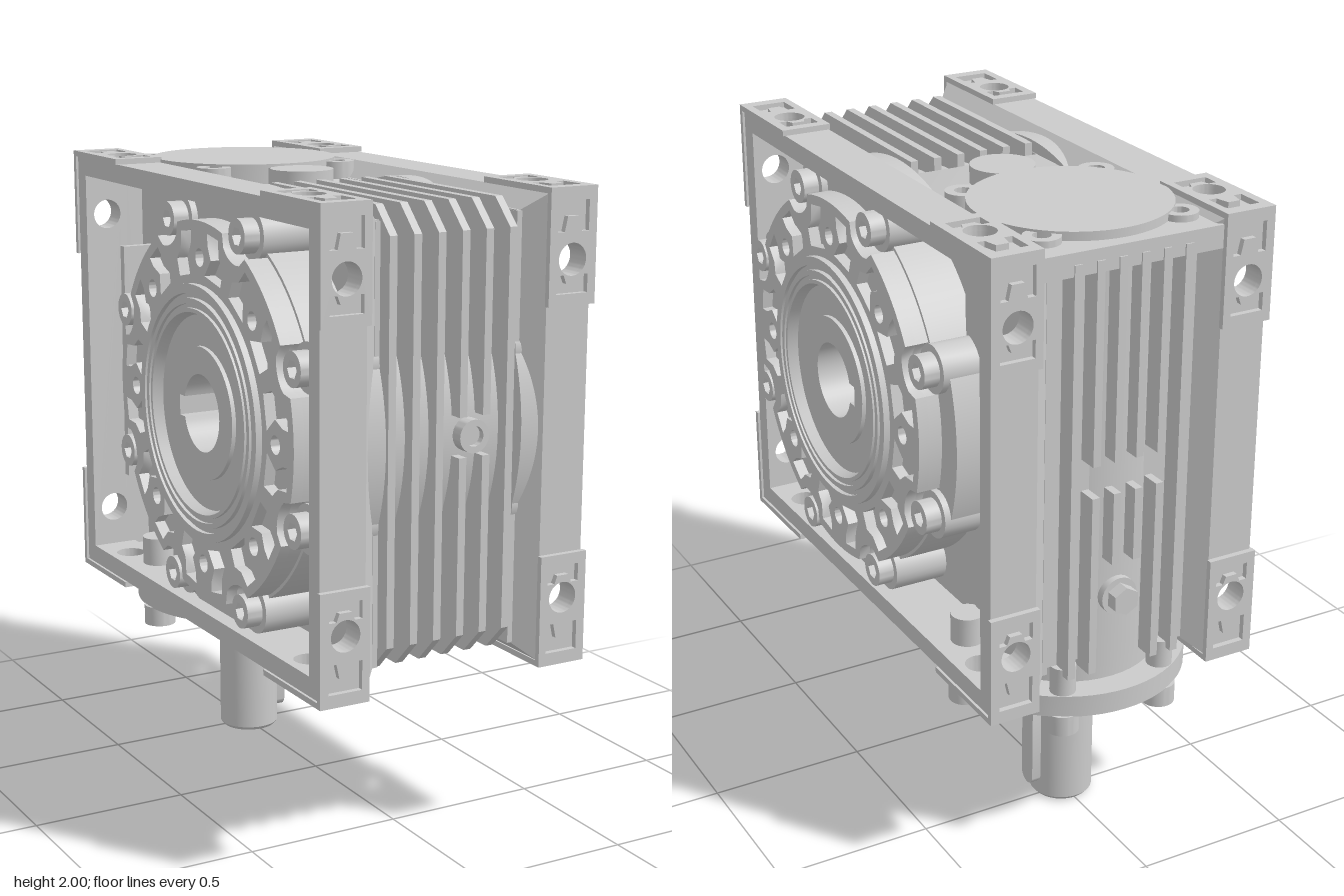
import * as THREE from 'three';
import { toCreasedNormals } from 'three/addons/utils/BufferGeometryUtils.js';

const MAT = new THREE.MeshStandardMaterial({ color: 0xcccccc, side: THREE.DoubleSide });
const BORE = { y: 1.29, z: 0.14 };   // output bore axis (along x)
const WORM_Z = -0.485;               // input shaft axis (along y)
const TAU = Math.PI * 2;

function add(parent, name, geo, x = 0, y = 0, z = 0) {
  const m = new THREE.Mesh(toCreasedNormals(geo, 0.6), MAT);
  m.name = name;
  m.position.set(x, y, z);
  parent.add(m);
  return m;
}
const poly = (pts) => new THREE.Shape(pts.map(([x, y]) => new THREE.Vector2(x, y)));
const rect = (x0, y0, x1, y1) => poly([[x0, y0], [x1, y0], [x1, y1], [x0, y1]]);
const circle = (r, x = 0, y = 0) => new THREE.Shape().absarc(x, y, r, 0, TAU, false);
function extrude(shape, depth, holes = []) {
  shape.holes.push(...holes);
  return new THREE.ExtrudeGeometry(shape, { depth, bevelEnabled: false, curveSegments: 24 });
}
// Shape drawn in (-z, y), extruded along x from x0 to x1
const extrudeX = (shape, x0, x1, holes) => extrude(shape, x1 - x0, holes).rotateY(Math.PI / 2).translate(x0, 0, 0);
// Shape drawn in (x, -z), extruded upward from y0 to y1
const extrudeY = (shape, y0, y1, holes) => extrude(shape, y1 - y0, holes).rotateX(-Math.PI / 2).translate(0, y0, 0);
const lathe = (pts, seg = 48, start = 0) => new THREE.LatheGeometry(pts.map(([x, y]) => new THREE.Vector2(x, y)), seg, start);
const ngon = (n, r) => poly(Array.from({ length: n }, (_, i) => [r * Math.cos(i * TAU / n), r * Math.sin(i * TAU / n)]));

// Socket head bolt standing on z = 0 and pointing to +z
function bolt(r, h) {
  const g = new THREE.Group();
  g.name = 'bolt';
  add(g, 'boltHead', extrude(circle(r), h, [ngon(6, r * 0.55)]));
  add(g, 'boltSocketFloor', new THREE.CircleGeometry(r * 0.7, 16), 0, 0, h * 0.4);
  return g;
}

// One bar of a side frame, with drilled and pocketed pads at both ends; outward is +z
function frameBar(half) {
  const g = new THREE.Group();
  g.name = 'frameBar';
  const X0 = 0.295, X1 = 0.458, XC = 0.375, c = half - 0.21;
  add(g, 'bar', extrude(rect(0.3, 0.018 - half, 0.45, half - 0.018), 0.06, [circle(0.048, XC, c), circle(0.048, XC, -c)]), 0, 0, -0.06);
  for (const s of [-1, 1]) {
    const pocket = (a, b, e) => poly([[0.32, s * a], [0.43, s * a], [0.43, s * b], [0.405, s * b], [0.395, s * e], [0.355, s * e], [0.345, s * b], [0.32, s * b]]);
    add(g, 'cornerPad', extrude(rect(X0, s * (half - 0.345), X1, s * half), 0.018,
      [circle(0.048, XC, s * c), pocket(half - 0.04, half - 0.13, half - 0.085), pocket(c - 0.1, c - 0.045, c - 0.07)]));
  }
  return g;
}

// Flanged bearing cover with ribs, pockets and bolts, centred on the bore axis
function bearingCover() {
  const g = new THREE.Group();
  g.name = 'bearingCover';
  const N = 192, step = TAU / 8;
  const ring = (f) => poly(Array.from({ length: N }, (_, i) => {
    const a = i * TAU / N, r = f(a);
    return [r * Math.cos(a), r * Math.sin(a)];
  }));
  const lobed = (a) => (Math.cos(4 * a) > 0 ? 0.678 : 0.595);
  const notched = (a) => {
    const d = Math.abs(((a / step) % 1) - 0.5) * step;
    return d < 0.13 ? 0.58 - 0.05 * Math.sqrt(1 - (d / 0.13) ** 2) : 0.585;
  };
  add(g, 'bearingHousing', extrudeX(ring(lobed), 0.23, 0.4, [circle(0.19)]));
  add(g, 'coverPlate', extrudeX(ring(notched), 0.4, 0.44, [circle(0.19)]));
  const holes = [circle(0.38)];
  for (let i = 0; i < 16; i++) {
    const a = (i + 0.5) * TAU / 16, s = i % 2 ? -1 : 1;
    const P = (r, d) => [r * Math.cos(a + s * d), r * Math.sin(a + s * d)];
    holes.push(poly([P(0.425, -0.12), P(0.425, 0.13), P(0.48, 0.13), P(0.505, 0.06), P(0.555, 0.03), P(0.555, -0.1), P(0.52, -0.09), P(0.48, -0.04)]));
    if (i % 2) holes.push(circle(0.028, 0.475 * Math.cos(i * step / 2 - step / 2), 0.475 * Math.sin(i * step / 2 - step / 2)));
  }
  add(g, 'coverRibs', extrudeX(ring(notched), 0.44, 0.475, holes));
  add(g, 'pilotRing', lathe([[0.395, 0.44], [0.395, 0.495], [0.367, 0.495], [0.367, 0.48], [0.352, 0.48], [0.352, 0.495],
    [0.335, 0.495], [0.335, 0.485], [0.322, 0.485], [0.322, 0.495], [0.31, 0.495], [0.3, 0.462], [0.19, 0.462]], 64).rotateZ(-Math.PI / 2));
  for (let i = 0; i < 8; i++) {
    const a = (i + 0.5) * step, y = 0.612 * Math.sin(a), z = 0.612 * Math.cos(a);
    add(g, 'boltLug', new THREE.CylinderGeometry(0.075, 0.075, 0.19, 24).rotateZ(Math.PI / 2), 0.325, y, z);
    const b = bolt(0.052, 0.05);
    b.rotation.y = Math.PI / 2;
    b.position.set(0.42, y, z);
    g.add(b);
  }
  g.position.set(0, BORE.y, BORE.z);
  return g;
}

// Everything on the +x side; the other side is its mirror
function sideAssembly() {
  const g = new THREE.Group();
  g.name = 'sideAssembly';
  const bars = [[0.72, 0, 1.28, 0.828], [0.72, Math.PI, 1.28, -0.828], [0.845, -Math.PI / 2, 1.982, 0], [0.845, Math.PI / 2, 0.578, 0]];
  for (const [half, rx, y, z] of bars) {
    const b = frameBar(half);
    b.rotation.x = rx;
    b.position.set(0, y, z);
    g.add(b);
  }
  const q = Math.SQRT2;
  add(g, 'slopedWeb', lathe([[0.93 * q, 0.3], [0.93 * q, 0.23], [0.916 * q, 0.23], [q, 0.3]], 4, Math.PI / 4)
    .rotateZ(-Math.PI / 2).scale(1, 0.702, 0.828), 0, 1.28, 0);
  add(g, 'recessFloor', extrudeX(rect(-0.775, 0.63, 0.775, 1.93), 0.228, 0.245, [circle(0.19, -BORE.z, BORE.y)]));
  add(g, 'recessRib', new THREE.BoxGeometry(0.12, 0.79, 0.028), 0.3, 1.295, -0.685);
  add(g, 'flangeNut', new THREE.CylinderGeometry(0.052, 0.052, 0.16, 24), 0.34, 0.65, WORM_Z);
  g.add(bearingCover());
  return g;
}

export function createModel() {
  const model = new THREE.Group();
  model.name = 'wormGearbox';

  for (const s of [1, -1]) {
    const side = sideAssembly();
    side.scale.x = s;
    model.add(side);
  }

  // Central body: round in front, square behind
  const body = new THREE.Shape();
  body.moveTo(0.77, 0.65).lineTo(0.77, 1.93).lineTo(-0.1, 1.93).lineTo(-BORE.z, 1.91);
  body.absarc(-BORE.z, BORE.y, 0.62, Math.PI / 2, Math.PI * 1.5, false);
  body.lineTo(0.77, 0.65);
  add(model, 'body', extrudeX(body, -0.23, 0.23, [circle(0.19, -BORE.z, BORE.y)]));
  add(model, 'wormHousing', new THREE.CylinderGeometry(0.3, 0.3, 1.3, 64), 0, 1.28, WORM_Z);

  // Hollow output shaft with keyway
  const k = 0.032, bore = new THREE.Path();
  const ka = Math.asin(k / 0.12);
  bore.absarc(0, 0, 0.12, ka, TAU - ka, false).lineTo(0.15, -k).lineTo(0.15, k);
  add(model, 'hollowShaft', extrudeX(circle(0.205), -0.475, 0.475, [bore]), 0, BORE.y, BORE.z);

  // Front cooling fins in upper and lower halves, parted around the plug
  for (let i = 0; i < 6; i++) {
    const x = -0.2 + i * 0.08, gap = i === 3 || i === 4 ? 0.06 : 0;
    for (const s of [1, -1]) {
      const pts = [[0.1, 0.54], [0.1, 0.68], [0.72, 0.68], [0.8, 0.6], [0.8, gap], [0.6, gap], [0.4, 0.4]];
      add(model, 'frontFin', extrudeX(poly(pts.map(([z, y]) => [-z, BORE.y + s * y])), x - 0.0125, x + 0.0125));
    }
  }
  // Back fins; the inner ones are parted, leaving room for the drain plug
  for (let i = 0; i < 6; i++) {
    const x = -0.18 + i * 0.072;
    const spans = i === 0 || i === 5 ? [[0.63, 1.93]] : i === 2 || i === 3 ? [[0.98, 1.21], [1.31, 1.93]] : [[0.63, 1.21], [1.31, 1.93]];
    for (const [a, b] of spans) add(model, 'backFin', new THREE.BoxGeometry(0.025, b - a, 0.08), x, (a + b) / 2, -0.795);
  }
  add(model, 'levelPlug', extrude(circle(0.05), 0.1, [circle(0.03)]), 0.08, BORE.y, 0.7);
  add(model, 'levelPlugCore', new THREE.CircleGeometry(0.035, 24), 0.08, BORE.y, 0.78);
  add(model, 'drainPlugCollar', new THREE.CylinderGeometry(0.06, 0.06, 0.04, 24).rotateX(Math.PI / 2), 0, 0.85, -0.785);
  add(model, 'drainPlug', new THREE.CylinderGeometry(0.045, 0.045, 0.08, 6).rotateX(Math.PI / 2), 0, 0.85, -0.805);

  // Top deck, worm cap with four ears, breather boss
  add(model, 'topDeck', new THREE.BoxGeometry(0.6, 0.07, 0.28), 0, 1.93, -0.69);
  add(model, 'wormCap', new THREE.CylinderGeometry(0.3, 0.3, 0.08, 64), 0, 1.952, WORM_Z);
  for (const sx of [1, -1]) for (const sz of [1, -1]) {
    const x = sx * 0.225, z = WORM_Z + sz * 0.225;
    add(model, 'capEar', extrudeY(circle(0.055), 1.9, 1.985, [circle(0.027)]), x, 0, z);
  }
  add(model, 'breatherBoss', new THREE.CylinderGeometry(0.1, 0.1, 0.06, 40), 0, 1.955, -0.09);
  add(model, 'breatherNeck', new THREE.BoxGeometry(0.13, 0.055, 0.08), 0, 1.955, -0.185);

  // Input flange with six bolts and hub
  add(model, 'flangeNeck', new THREE.CylinderGeometry(0.29, 0.29, 0.12, 48), 0, 0.6, WORM_Z);
  add(model, 'inputFlange', new THREE.CylinderGeometry(0.385, 0.385, 0.07, 64), 0, 0.525, WORM_Z + 0.01);
  for (let i = 0; i < 6; i++) {
    const a = i * TAU / 6, x = 0.343 * Math.cos(a), z = WORM_Z + 0.01 + 0.343 * Math.sin(a);
    const b = bolt(0.052, 0.065);
    b.rotation.x = Math.PI / 2;
    b.position.set(x, 0.492, z);
    model.add(b);
    if (i % 3) add(model, 'flangeStud', new THREE.CylinderGeometry(0.04, 0.04, 0.1, 20), x, 0.6, z);
  }
  add(model, 'inputHub', lathe([[0.09, 0.44], [0.12, 0.44], [0.125, 0.42], [0.155, 0.42], [0.165, 0.43], [0.165, 0.5]]), 0, 0, WORM_Z);

  // Input shaft with chamfered, centre-drilled end and rounded key
  add(model, 'inputShaft', lathe([[0, 0.04], [0.025, 0.03], [0.035, 0], [0.09, 0], [0.1, 0.012], [0.1, 0.5]]), 0, 0, WORM_Z);
  const key = new THREE.Shape();
  key.absarc(0, 0.34, 0.033, 0, Math.PI, false).absarc(0, 0.08, 0.033, Math.PI, TAU, false);
  add(model, 'shaftKey', extrudeX(key, 0.06, 0.125), 0, 0, WORM_Z);

  return model;
}
